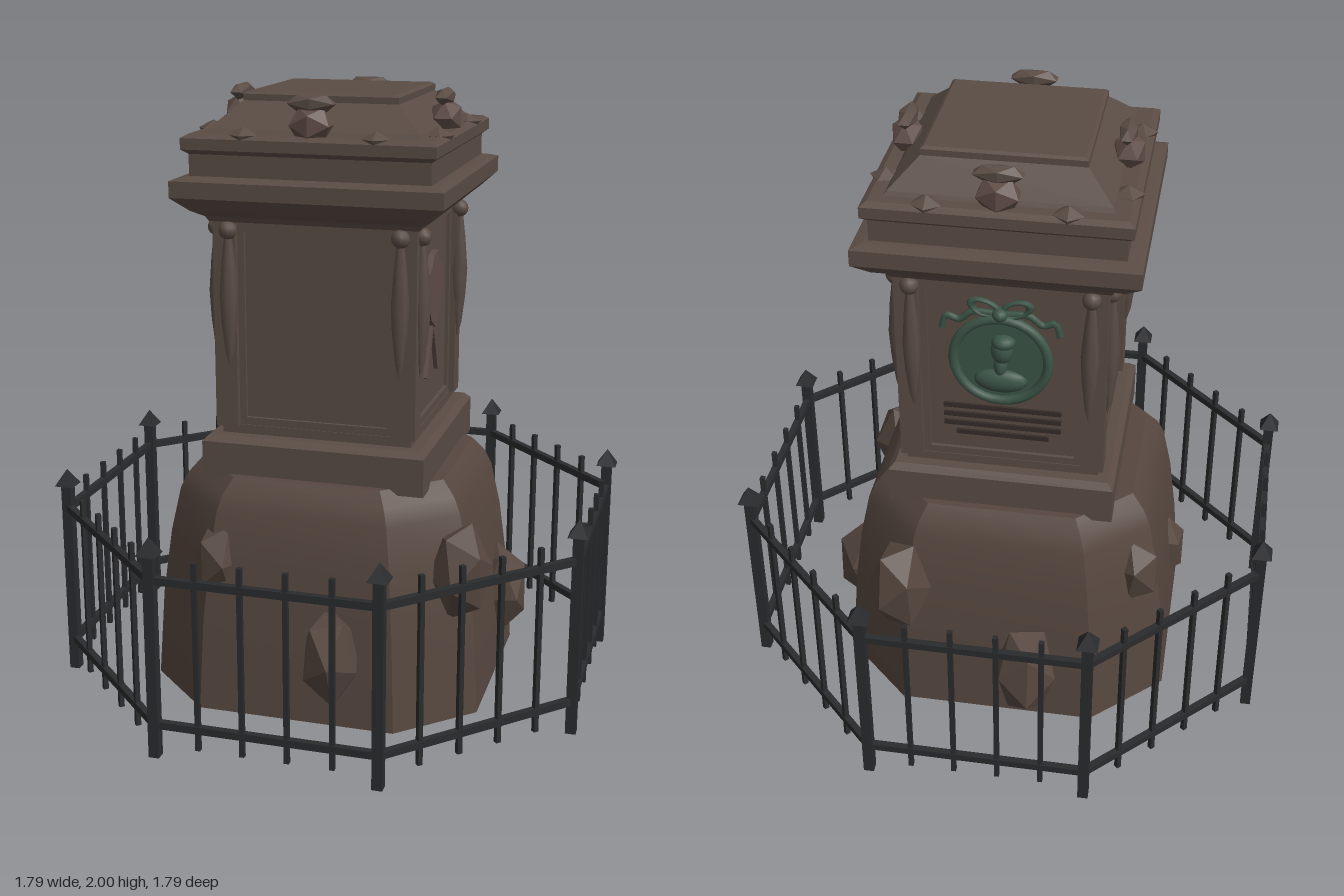
import * as THREE from 'three';
import { toCreasedNormals } from 'three/addons/utils/BufferGeometryUtils.js';

const mat = (name, color) => {
  const m = new THREE.MeshStandardMaterial({ color });
  m.name = name;
  return m;
};
const stone = mat('brown stone', 0x5a4c44);
const rock = mat('rough rock', 0x56473f);
const ornament = mat('reddish stone', 0x5f4c46);
const dark = mat('dark lettering bars', 0x352c29);
const iron = mat('black iron', 0x2a2b2d);
const bronze = mat('green bronze', 0x3c5548);

const crease = (g, a = 0.5) => toCreasedNormals(g, a);
const V2 = (p) => p.map(([x, y]) => new THREE.Vector2(x, y));
const box = (w, h, d) => new THREE.BoxGeometry(w, h, d);

function add(parent, name, geo, material, pos = [0, 0, 0], scale = [1, 1, 1]) {
  const m = new THREE.Mesh(geo, material);
  m.name = name;
  m.position.set(...pos);
  m.scale.set(...scale);
  parent.add(m);
  return m;
}

// Square moulding from [halfWidth, y] pairs
function squareStack(points) {
  const g = new THREE.LatheGeometry(V2(points.map(([h, y]) => [h * Math.SQRT2, y])), 4);
  return crease(g.rotateY(Math.PI / 4), 0.2);
}

function extrude(points, depth, hole) {
  const s = new THREE.Shape(V2(points));
  if (hole) s.holes.push(new THREE.Path(V2(hole)));
  return new THREE.ExtrudeGeometry(s, { depth, bevelEnabled: false });
}
const rect = (w, y0, y1) => [[-w, y0], [w, y0], [w, y1], [-w, y1]];

// Rounded eight-sided mound with outcropping boulders
function buildMound(root) {
  const g = new THREE.LatheGeometry(
    V2([[0, 0], [1, 0], [0.965, 0.3], [0.915, 0.52], [0.86, 0.67], [0.82, 0.72], [0.745, 0.77], [0, 0.775]]), 8);
  g.rotateY(Math.PI / 8);
  const p = g.attributes.position;
  for (let i = 0; i < p.count; i++) {
    const x = p.getX(i), z = p.getZ(i), r = Math.hypot(x, z) || 1;
    const bulge = (v) => Math.sign(v) * Math.pow(Math.abs(v / r), 0.6) * r;
    p.setXYZ(i, bulge(x) * 0.585 - 0.01, p.getY(i), bulge(z) * 0.555);
  }
  add(root, 'rockMound', crease(g, 0.55), rock);

  let seed = 7;
  const rnd = () => (seed = (seed * 16807) % 2147483647) / 2147483647;
  // centre and half sizes of each boulder
  const boulders = [
    [-0.29, 0.5, 0.43, 0.09, 0.14, 0.1], [0.11, 0.24, 0.52, 0.1, 0.17, 0.12],
    [0.48, 0.49, 0.31, 0.11, 0.17, 0.12], [0.53, 0.26, -0.13, 0.11, 0.17, 0.09],
    [-0.53, 0.28, 0.1, 0.075, 0.14, 0.07], [-0.46, 0.51, -0.31, 0.09, 0.13, 0.09],
    [-0.12, 0.23, -0.56, 0.11, 0.18, 0.13], [0.32, 0.48, -0.48, 0.11, 0.18, 0.12],
  ];
  for (const [x, y, z, a, b, c] of boulders) {
    const ico = new THREE.IcosahedronGeometry(1, 0).rotateY(Math.atan2(x, z)).rotateX(rnd() * 0.6);
    add(root, 'boulder', ico, rock, [x, y, z], [a, b, c]);
  }
}

// Plinth, shaft and crowning mouldings
function buildPedestal(root) {
  add(root, 'plinth', squareStack([[0, 0.75], [0.37, 0.75], [0.37, 0.875], [0.35, 0.895], [0, 0.895]]), stone);
  add(root, 'shaft', squareStack([[0.315, 0.89], [0.315, 0.925], [0.3, 0.925], [0.3, 1.61]]), stone);
  add(root, 'cornice', squareStack([
    [0, 1.595], [0.34, 1.595], [0.35, 1.612], [0.385, 1.632], [0.435, 1.678], [0.435, 1.73], [0.4, 1.74],
    [0.385, 1.742], [0.385, 1.81], [0.405, 1.825], [0.405, 1.86], [0.385, 1.872], [0, 1.872],
  ]), stone);
  add(root, 'capBlock', squareStack([
    [0.345, 1.87], [0.335, 1.885], [0.25, 1.965], [0.25, 1.985], [0.24, 1.992], [0, 1.992],
  ]), stone);
  for (const x of [-1, 1]) for (const z of [-1, 1])
    add(root, 'cornerPilaster', box(0.075, 0.68, 0.075), stone, [x * 0.2945, 1.26, z * 0.2945]);
}

// Parts repeated on all four faces, placed on a local front
function buildFace(face) {
  const frame = extrude(rect(0.258, 0.925, 1.598), 0.012, rect(0.235, 0.95, 1.56));
  add(face, 'panelFrame', frame, stone, [0, 0, 0.3]);
  const drop = new THREE.LatheGeometry(
    V2([[0, 1.12], [0.014, 1.17], [0.026, 1.27], [0.031, 1.36], [0.022, 1.47], [0.012, 1.55]]), 7);
  const gem = new THREE.CylinderGeometry(0.05, 0.02, 0.045, 5).toNonIndexed();
  const tip = new THREE.ConeGeometry(0.05, 0.025, 5).toNonIndexed();
  gem.computeVertexNormals();
  tip.computeVertexNormals();
  for (const s of [-1, 1]) {
    add(face, 'festoonDrop', drop, stone, [s * 0.28, 0, 0.335]);
    add(face, 'festoonKnob', new THREE.SphereGeometry(0.03, 10, 8), stone, [s * 0.28, 1.568, 0.335]);
    add(face, 'rosette', gem, stone, [s * 0.21, 1.85, 0.365]);
    add(face, 'rosetteTip', tip, stone, [s * 0.21, 1.885, 0.365]);
  }
  const palmette = new THREE.IcosahedronGeometry(1, 0);
  add(face, 'palmetteBody', palmette, ornament, [0, 1.905, 0.345], [0.075, 0.062, 0.055]);
  add(face, 'palmetteTop', palmette, stone, [0, 1.97, 0.34], [0.088, 0.03, 0.032]);
}

// Shield with two crossed handles on the side faces
function buildEmblem(face) {
  const shield = extrude([[-0.06, 1.25], [0, 1.215], [0.05, 1.24], [0.09, 1.28], [0.1, 1.42], [0.06, 1.43],
    [0.03, 1.47], [-0.03, 1.465], [-0.06, 1.43], [-0.1, 1.41], [-0.095, 1.3]], 0.02);
  add(face, 'emblemShield', shield, ornament, [0, 0, 0.3]);
  for (const s of [-1, 1])
    add(face, 'emblemHandle', box(0.02, 0.2, 0.016), ornament, [s * 0.038, 1.15, 0.306]).rotation.z = s * 0.42;
}

// Portrait medallion, bow and inscription bars on the back
function buildMedallion(face) {
  const disc = new THREE.CylinderGeometry(0.15, 0.15, 0.03, 32).rotateX(Math.PI / 2);
  add(face, 'medallionDisc', disc, bronze, [0, 1.32, 0.315]);
  add(face, 'medallionRim', new THREE.TorusGeometry(0.15, 0.016, 8, 32), bronze, [0, 1.32, 0.33]);
  const ball = new THREE.SphereGeometry(1, 14, 10);
  const blobs = [
    ['portraitHead', 0.005, 1.36, 0.036, 0.048, 0.035], ['portraitHair', 0.01, 1.39, 0.038, 0.025, 0.037],
    ['portraitNeck', 0, 1.3, 0.022, 0.04, 0.025], ['portraitShoulders', 0, 1.245, 0.085, 0.042, 0.03],
    ['bowKnot', 0, 1.488, 0.025, 0.022, 0.03],
  ];
  for (const [name, x, y, a, b, c] of blobs) add(face, name, ball, bronze, [x, y, 0.33], [a, b, c]);
  for (const s of [-1, 1]) {
    add(face, 'bowLoop', new THREE.TorusGeometry(0.035, 0.011, 6, 16), bronze,
      [s * 0.05, 1.505, 0.325], [1.25, 0.7, 1]).rotation.z = s * 0.35;
    const path = new THREE.CatmullRomCurve3([[0.02, 1.485], [0.09, 1.485], [0.13, 1.455], [0.17, 1.465], [0.185, 1.42]]
      .map(([x, y]) => new THREE.Vector3(s * x, y, 0.322)));
    add(face, 'bowRibbon', new THREE.TubeGeometry(path, 16, 0.011, 6), bronze);
  }
  for (let i = 0; i < 4; i++)
    add(face, 'inscriptionBar', box(i === 3 ? 0.3 : 0.38, 0.016, 0.009), dark, [0, 1.115 - i * 0.034, 0.304]);
}

// Octagonal railing
function buildFence(root) {
  const posts = [];
  for (let k = 0; k < 8; k++) {
    const a = Math.PI / 8 + (k * Math.PI) / 4;
    posts.push(new THREE.Vector3(Math.sin(a) * 0.936, 0, Math.cos(a) * 0.936));
  }
  const cap = new THREE.ConeGeometry(0.046, 0.055, 4).rotateY(Math.PI / 4).toNonIndexed();
  cap.computeVertexNormals();
  posts.forEach((p, k) => {
    add(root, 'fencePost', box(0.034, 0.68, 0.034), iron, [p.x, 0.34, p.z]);
    add(root, 'postCap', cap, iron, [p.x, 0.7, p.z]);
    const q = posts[(k + 1) % 8];
    const mid = p.clone().lerp(q, 0.5), angle = Math.atan2(p.z - q.z, q.x - p.x);
    for (const y of [0.11, 0.59])
      add(root, 'fenceRail', box(p.distanceTo(q), 0.024, 0.022), iron, [mid.x, y, mid.z]).rotation.y = angle;
    for (let i = 1; i < 5; i++) {
      const c = p.clone().lerp(q, i / 5);
      add(root, 'fencePicket', box(0.016, 0.62, 0.016), iron, [c.x, 0.35, c.z]).rotation.y = angle;
    }
  });
}

export function createModel() {
  const root = new THREE.Group();
  root.name = 'monument';
  buildMound(root);
  buildPedestal(root);
  ['frontFace', 'leftFace', 'backFace', 'rightFace'].forEach((name, k) => {
    const face = new THREE.Group();
    face.name = name;
    face.rotation.y = (k * Math.PI) / 2;
    buildFace(face);
    if (k % 2) buildEmblem(face);
    if (k === 2) buildMedallion(face);
    root.add(face);
  });
  const fence = new THREE.Group();
  fence.name = 'fence';
  buildFence(fence);
  root.add(fence);
  return root;
}
